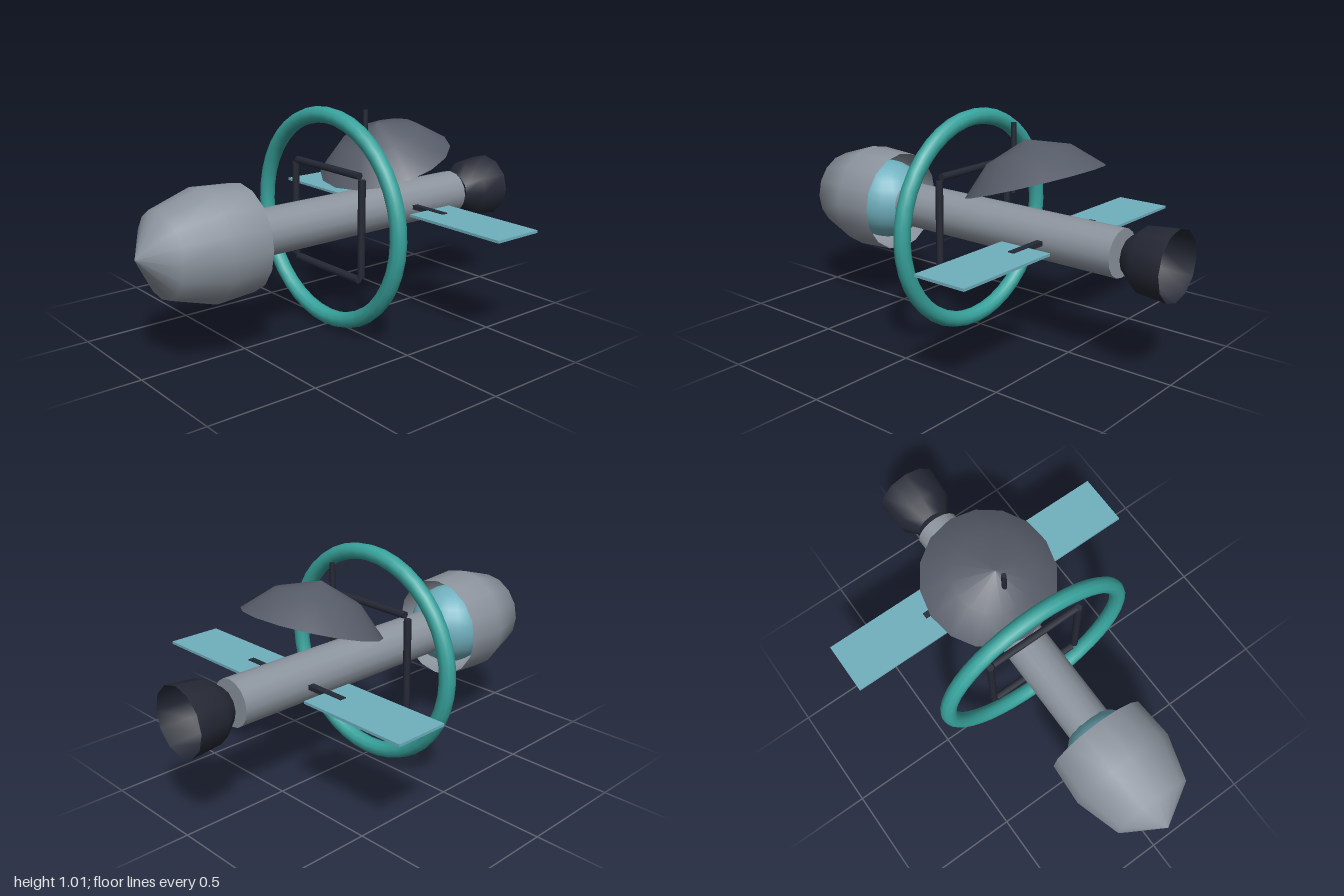
import * as THREE from 'three';

const AXIS_Y = 0.51;

const mat = (color, side = THREE.FrontSide) => new THREE.MeshStandardMaterial({ color, side });

function add(parent, name, geometry, material, x = 0, y = 0, z = 0) {
  const mesh = new THREE.Mesh(geometry, material);
  mesh.name = name;
  mesh.position.set(x, y, z);
  parent.add(mesh);
  return mesh;
}

// Open shell turned around its own y axis, from [radius, height] pairs listed bottom to top
const shell = (points, segments) =>
  new THREE.LatheGeometry(points.map(([r, h]) => new THREE.Vector2(r, h)), segments);

// Turns a geometry's y axis to point along +z
const alongZ = (geometry) => geometry.rotateX(Math.PI / 2);

export function createModel() {
  const model = new THREE.Group();
  model.name = 'spacecraft';

  const grey = mat(0x8c949e);
  const greyShell = mat(0x8c949e, THREE.DoubleSide);
  const dishGrey = mat(0x565c68, THREE.DoubleSide);
  const dark = mat(0x252935);
  const darkShell = mat(0x252935, THREE.DoubleSide);
  const teal = mat(0x38a39d);
  const paleBlue = mat(0x70b0be);

  // Everything on the long axis sits in one group
  const body = new THREE.Group();
  body.name = 'body';
  body.position.y = AXIS_Y;
  model.add(body);

  // Long tubular hull
  add(body, 'hull', alongZ(new THREE.CylinderGeometry(0.105, 0.105, 1.3, 16)), grey, 0, 0, -0.1);

  // Bulbous nose, hollow and open at the back, around a round cabin
  add(body, 'noseShell',
    alongZ(shell([[0.236, 0.5], [0.248, 0.69], [0.186, 0.89], [0, 1]], 16)), greyShell);
  add(body, 'cabin', new THREE.SphereGeometry(0.19, 20, 14), paleBlue, 0, 0, 0.598);

  // Engine bell, open at both ends and set just behind the hull
  add(body, 'engineBell',
    alongZ(shell([[0.153, -1], [0.14, -0.86], [0.08, -0.785]], 12)), darkShell);

  // Habitat ring with a square frame of four struts inside
  add(body, 'ring', new THREE.TorusGeometry(0.47, 0.037, 10, 40), teal, 0, 0, 0.036);
  const frame = new THREE.Group();
  frame.name = 'ringFrame';
  frame.position.z = 0.036;
  body.add(frame);
  for (let i = 0; i < 4; i++) {
    const a = (i * Math.PI) / 2;
    const strut = add(frame, 'frameStrut', new THREE.CylinderGeometry(0.017, 0.017, 0.44, 8), dark,
      0.235 * Math.cos(a), 0.235 * Math.sin(a), 0);
    strut.rotation.z = a;
  }

  // Flat panels on short arms, one each side
  for (const [side, s] of [['left', 1], ['right', -1]]) {
    add(body, `${side}PanelArm`, new THREE.BoxGeometry(0.2, 0.02, 0.03), dark, s * 0.2, 0, -0.41);
    add(body, `${side}Panel`, new THREE.BoxGeometry(0.53, 0.012, 0.25), paleBlue,
      s * 0.467, 0, -0.41);
  }

  // Tilted dish, hollow below, with an upright mast passing through it
  const dish = add(model, 'dish', shell([[0.31, 0], [0.185, 0.12], [0, 0.184]], 16), dishGrey,
    0, 0.74, -0.305);
  dish.rotation.x = 0.31;
  add(model, 'mast', new THREE.CylinderGeometry(0.012, 0.012, 0.31, 8), dark, 0, 0.825, -0.185);

  return model;
}
